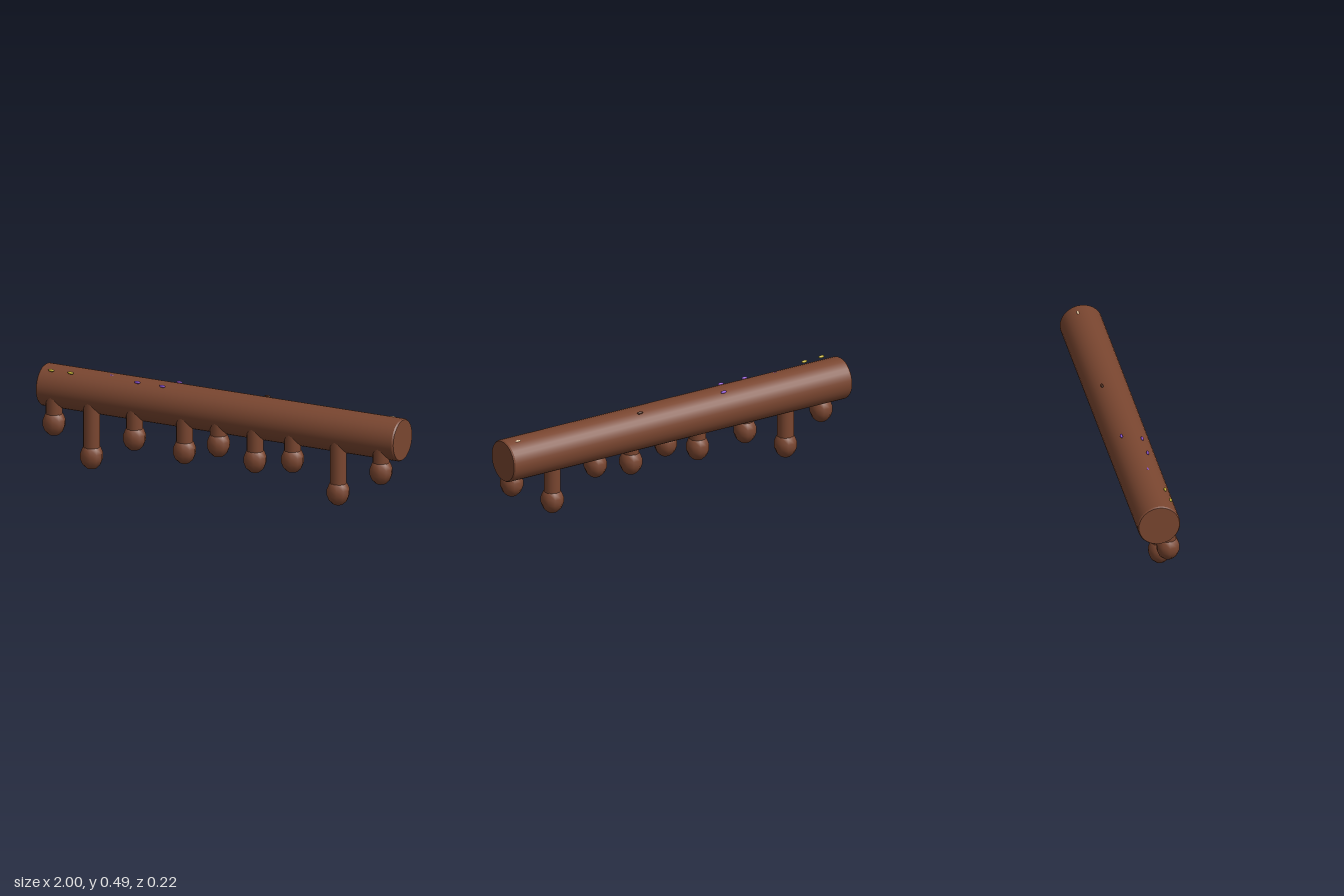
import * as THREE from 'three';

const material = (name, color) => {
  const m = new THREE.MeshStandardMaterial({ color });
  m.name = name;
  return m;
};

export function createModel() {
  const group = new THREE.Group();
  const chocolate = material('chocolate', 0x7a4630);
  const yellow = material('yellow', 0xc8b432);
  const purple = material('purple', 0x8a4fd0);
  const darkBrown = material('darkBrown', 0x4a2a1c);
  const cream = material('cream', 0xe8c8a0);

  const add = (name, geometry, mat, x, y, z) => {
    const mesh = new THREE.Mesh(geometry, mat);
    mesh.name = name;
    mesh.position.set(x, y, z);
    group.add(mesh);
    return mesh;
  };

  // Horizontal roll with softened end rims
  const R = 0.108, Y = 0.388, Z = -0.005, rim = 0.008;
  const roll = new THREE.CylinderGeometry(R, R, 2 - 2 * rim, 32, 1, true).rotateZ(Math.PI / 2);
  add('roll', roll, chocolate, 0, Y, Z);
  for (const side of [-1, 1]) {
    const end = new THREE.CylinderGeometry(R - 0.005, R, rim, 32).rotateZ(-side * Math.PI / 2);
    add('rollEnd', end, chocolate, side * (1 - rim / 2), Y, Z);
  }

  // Drips: a stem running into the roll and a rounded drop; [x, lowest y]
  const drips = [
    [-0.92, 0.147], [-0.71, 0.003], [-0.47, 0.135], [-0.19, 0.107], [0, 0.17],
    [0.205, 0.118], [0.415, 0.15], [0.67, 0.017], [0.91, 0.16],
  ];
  const dropGeometry = new THREE.SphereGeometry(1, 10, 7).scale(0.059, 0.07, 0.06);
  const stemTop = 0.385, dripZ = 0.055;
  for (const [x, bottom] of drips) {
    const centre = bottom + 0.07;
    const length = stemTop - centre;
    const stem = new THREE.CylinderGeometry(0.042, 0.042, length, 16);
    add('dripStem', stem, chocolate, x, centre + length / 2, dripZ);
    add('dripDrop', dropGeometry, chocolate, x, centre, dripZ);
  }

  // Sprinkles lying along the top
  const sprinkleGeometry = new THREE.SphereGeometry(1, 12, 8).scale(0.017, 0.007, 0.007);
  const sprinkles = [
    [yellow, -0.93, 0.067], [yellow, -0.825, 0.06],
    [purple, -0.46, 0.044], [purple, -0.32, 0.044], [purple, -0.275, -0.053],
    [purple, -0.62, 0.012], [darkBrown, 0.22, -0.053], [cream, 0.93, -0.033],
  ];
  for (const [mat, x, z] of sprinkles) add('sprinkle', sprinkleGeometry, mat, x, 0.489, z);

  return group;
}
